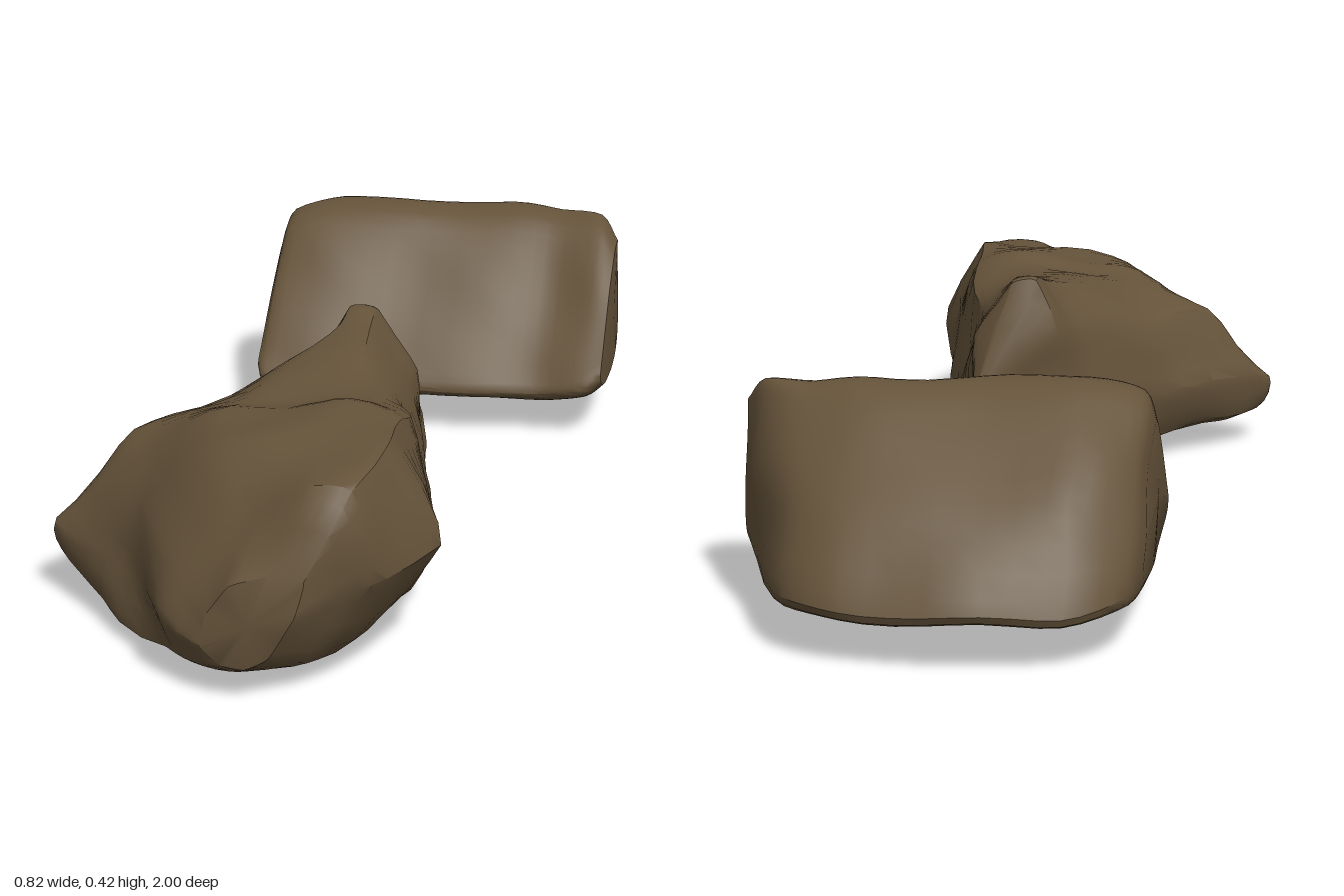
import * as THREE from 'three';
import { toCreasedNormals } from 'three/addons/utils/BufferGeometryUtils.js';

const STEPS = 4; // subdivisions between two section corners, and between two sections

// Small weathering, driven by position so shared corners stay together
function weather(p, amount) {
  const { x, y, z } = p;
  p.x += amount * Math.sin(23 * y + 17 * z + 1.3) * Math.cos(19 * x);
  p.y += amount * Math.sin(21 * x + 2.1) * Math.sin(18 * z + 0.4);
  p.z += amount * Math.sin(25 * x + 14 * y) * Math.cos(20 * y + 0.7);
  p.y = Math.max(0, p.y);
  return p;
}

// Skin a row of closed sections (each an array of Vector3) and close both ends.
// A low tension keeps the corners angular.
function loftRock(sections, bulge, amount, tension) {
  const around = sections[0].length * STEPS;
  const rings = sections.map((s) => {
    const curve = new THREE.CatmullRomCurve3(s, true, 'catmullrom', tension);
    return Array.from({ length: around }, (_, j) => curve.getPoint(j / around));
  });
  const rails = rings[0].map((_, j) =>
    new THREE.CatmullRomCurve3(rings.map((r) => r[j]), false, 'catmullrom', tension));
  const rows = (sections.length - 1) * STEPS;
  const points = [];
  const index = [];
  for (let i = 0; i <= rows; i++) {
    for (const rail of rails) points.push(weather(rail.getPoint(i / rows), amount));
  }
  for (let i = 0; i < rows; i++) {
    for (let j = 0; j < around; j++) {
      const a = i * around + j, b = i * around + ((j + 1) % around);
      index.push(a, b, b + around, a, b + around, a + around);
    }
  }
  // End caps, fanned from a slightly raised centre
  for (const end of [0, rows]) {
    const start = end * around;
    const centre = new THREE.Vector3();
    for (let j = 0; j < around; j++) centre.addScaledVector(points[start + j], 1 / around);
    centre.addScaledVector(bulge, end ? 1 : -1);
    const c = points.push(centre) - 1;
    for (let j = 0; j < around; j++) {
      const a = start + j, b = start + ((j + 1) % around);
      if (end) index.push(c, a, b);
      else index.push(c, b, a);
    }
  }
  const geometry = new THREE.BufferGeometry().setFromPoints(points);
  geometry.setIndex(index);
  return toCreasedNormals(geometry, 0.5);
}

// Wedge-shaped section: foot z in front and behind, crest z, top and underside
function wedge([x, front, back, crest, top, low]) {
  const foot = low + 0.045;
  const at = (edge, t, h) =>
    new THREE.Vector3(x, foot + (top - foot) * h, crest + (edge - crest) * t);
  const under = (t, y) => new THREE.Vector3(x, y, front + (back - front) * t);
  return [
    at(back, 1, 0), at(back, 0.74, 0.42), at(back, 0.4, 0.76), at(back, 0.15, 0.96),
    at(front, 0, 1), at(front, 0.2, 0.93), at(front, 0.5, 0.62), at(front, 0.85, 0.2),
    at(front, 1, 0), under(0.04, foot - 0.025), under(0.25, low),
    under(0.6, low), under(0.88, low + 0.015),
  ];
}

// Craggy rock sections from back to front: x, y pairs from the right foot over the top
const cragDepths = [0.085, 0.15, 0.22, 0.38, 0.54, 0.6, 0.74, 0.91, 0.985];
const cragSections = [
  [.12, .10, .14, .14, .14, .20, .125, .23, .11, .22, .10, .18, .10, .14, .11, .10],
  [.13, .05, .155, .13, .13, .30, .06, .405, .01, .41, -.02, .30, -.03, .15, -.01, .06],
  [.14, .04, .165, .12, .13, .30, .06, .40, 0, .405, -.06, .30, -.09, .15, -.05, .05],
  [.15, .02, .20, .11, .16, .31, .08, .375, -.06, .36, -.16, .30, -.22, .15, -.16, .05],
  [.17, .01, .245, .13, .19, .34, .08, .365, -.09, .35, -.28, .29, -.385, .15, -.35, .07],
  [.16, .02, .25, .16, .20, .36, .08, .38, -.10, .36, -.26, .27, -.41, .13, -.39, .07],
  [.15, .03, .29, .19, .20, .375, .06, .37, -.10, .34, -.21, .235, -.25, .13, -.28, .03],
  [.10, .04, .21, .19, .17, .34, .10, .34, .01, .28, -.10, .19, -.14, .11, -.12, .04],
  [.05, .08, .10, .15, .11, .21, .07, .22, .0, .205, -.05, .15, -.06, .10, -.03, .07],
];

function cragRing(flat, i) {
  const z = cragDepths[i];
  const ring = [];
  for (let k = 0; k < flat.length; k += 2) ring.push(new THREE.Vector3(flat[k], flat[k + 1], z));
  const right = ring[0], left = ring[ring.length - 1];
  ring.push(new THREE.Vector3((right.x + left.x) / 2, Math.min(right.y, left.y) - 0.008, z));
  return ring;
}

export function createModel() {
  const group = new THREE.Group();
  group.name = 'rocks';
  const brown = new THREE.MeshStandardMaterial({ color: 0x65533a });
  brown.name = 'brown stone';

  // Smooth wedge-shaped rock at the back
  const wedgeSections = [
    [-0.28, -0.34, -0.79, -0.60, 0.32, 0.08],
    [-0.262, -0.315, -0.88, -0.60, 0.375, 0.06],
    [-0.17, -0.31, -0.97, -0.62, 0.405, 0.05],
    [0, -0.34, -1.0, -0.63, 0.395, 0.05],
    [0.18, -0.36, -0.985, -0.66, 0.4, 0.05],
    [0.285, -0.37, -0.92, -0.66, 0.385, 0.05],
    [0.37, -0.37, -0.74, -0.64, 0.39, 0.065],
    [0.405, -0.385, -0.65, -0.61, 0.35, 0.09],
  ].map(wedge);
  const backRock = new THREE.Mesh(
    loftRock(wedgeSections, new THREE.Vector3(0.004, 0, 0), 0.005, 0.4), brown);
  backRock.name = 'wedgeRock';

  // Craggy rock at the front
  const frontRock = new THREE.Mesh(
    loftRock(cragSections.map(cragRing), new THREE.Vector3(0, 0, 0.012), 0.009, 0.2), brown);
  frontRock.name = 'craggyRock';

  group.add(backRock, frontRock);
  return group;
}
